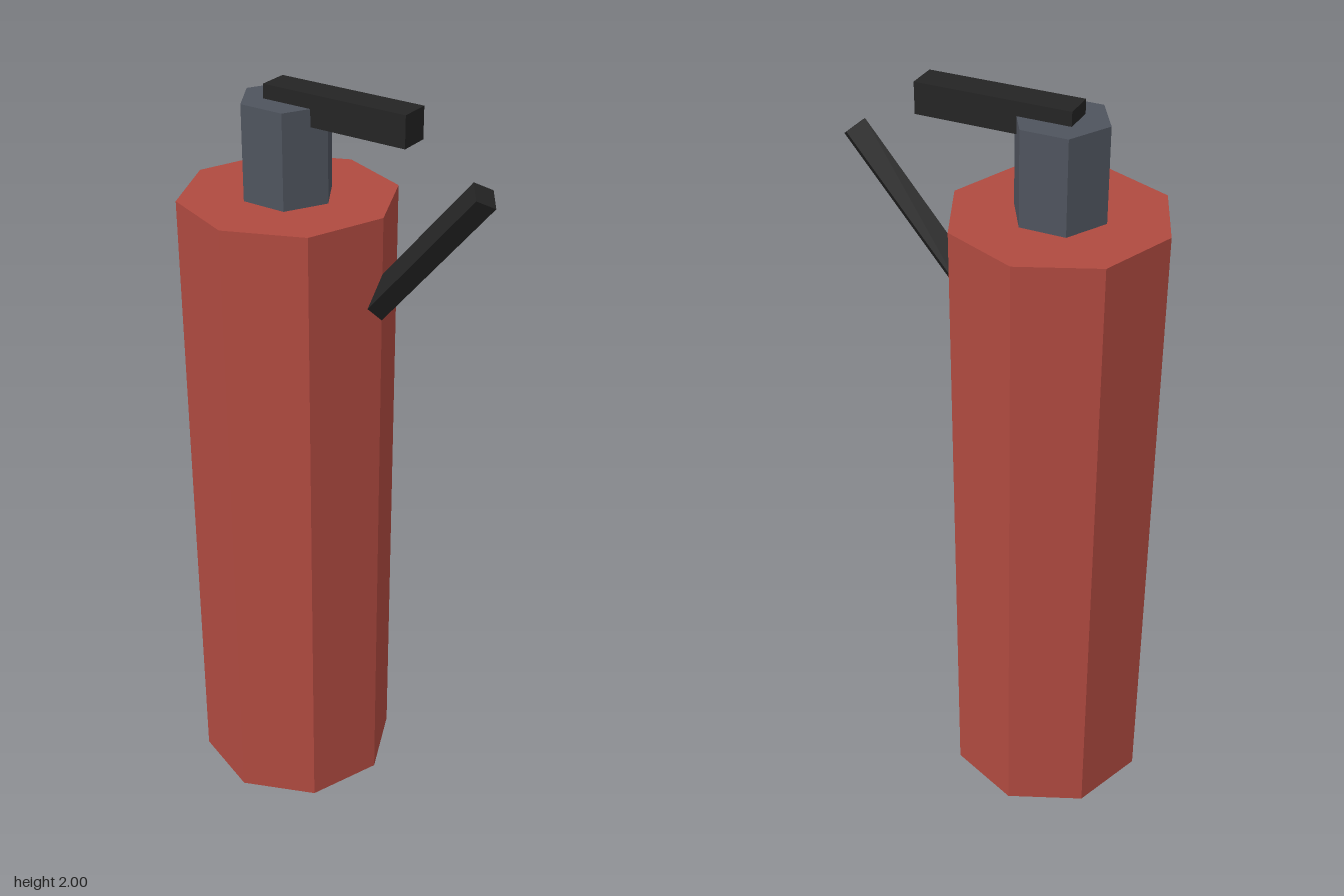
import * as THREE from 'three';

const material = (name, color) => {
  const m = new THREE.MeshStandardMaterial({ color, flatShading: true });
  m.name = name;
  return m;
};

export function createModel() {
  const group = new THREE.Group();
  group.name = 'fireExtinguisher';

  const red = material('red paint', 0xb04a40);
  const grey = material('grey metal', 0x4f545e);
  const black = material('black rubber', 0x242424);

  const add = (name, geometry, mat, x, y, z = 0) => {
    const mesh = new THREE.Mesh(geometry, mat);
    mesh.name = name;
    mesh.position.set(x, y, z);
    group.add(mesh);
    return mesh;
  };

  const axisX = -0.148;
  const tankHeight = 1.727;

  // Eight-sided tank with corners on the x and z axes
  add('tank', new THREE.CylinderGeometry(0.273, 0.273, tankHeight, 8), red, axisX, tankHeight / 2);

  // Six-sided valve with corners towards the sides
  const valve = add('valve', new THREE.CylinderGeometry(0.117, 0.117, 0.238, 6), grey, axisX, tankHeight + 0.119);
  valve.rotation.y = Math.PI / 6;

  // Lever lying across the valve, reaching to the left
  add('lever', new THREE.BoxGeometry(0.39, 0.078, 0.078), black, 0.008, 1.961);

  // Four-sided hose leaning out of the tank, its lower end buried
  const tilt = 0.69;
  const length = 0.47;
  const hose = add('hose', new THREE.CylinderGeometry(0.039, 0.039, length, 4), black,
    0.389 - Math.sin(tilt) * length / 2, 1.842 - Math.cos(tilt) * length / 2);
  hose.rotation.z = -tilt;

  return group;
}
